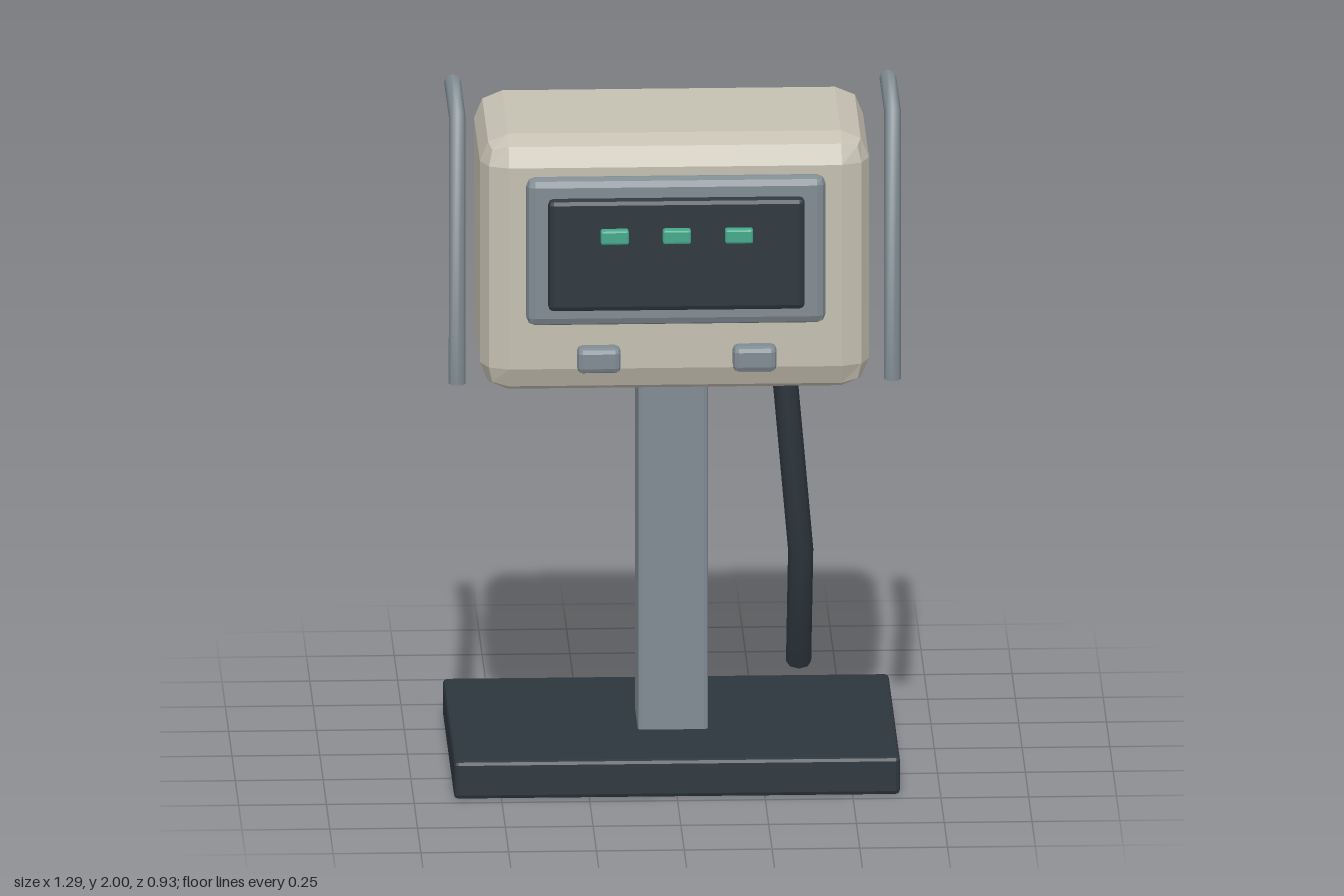
import * as THREE from 'three';
import { RoundedBoxGeometry } from 'three/addons/geometries/RoundedBoxGeometry.js';

const material = (name, color) => {
  const m = new THREE.MeshStandardMaterial({ color });
  m.name = name;
  return m;
};

// Box with two-facet bevels, given by its min and max on each axis
function bevelBox([x0, x1], [y0, y1], [z0, z1], radius) {
  const g = new RoundedBoxGeometry(x1 - x0, y1 - y0, z1 - z0, 1, radius);
  g.computeVertexNormals(); // flat facets
  g.translate((x0 + x1) / 2, (y0 + y1) / 2, (z0 + z1) / 2);
  return g;
}

// Capped bar swept along a bent line, one ring per point
function bentBar(points, radius, sides = 8) {
  const pts = points.map((p) => new THREE.Vector3(...p));
  const pos = [];
  const index = [];
  const rings = pts.map((p, i) => {
    const t = new THREE.Vector3();
    if (i > 0) t.add(p.clone().sub(pts[i - 1]).normalize());
    if (i < pts.length - 1) t.add(pts[i + 1].clone().sub(p).normalize());
    t.normalize();
    const v = new THREE.Vector3(1, 0, 0).addScaledVector(t, -t.x).normalize();
    const w = t.clone().cross(v);
    return Array.from({ length: sides }, (_, j) => {
      const a = (j / sides) * Math.PI * 2;
      return p.clone().addScaledVector(v, radius * Math.cos(a)).addScaledVector(w, radius * Math.sin(a));
    });
  });
  rings.forEach((ring) => ring.forEach((q) => pos.push(q.x, q.y, q.z)));
  for (let i = 0; i < rings.length - 1; i++) {
    for (let j = 0; j < sides; j++) {
      const k = (j + 1) % sides;
      const a = i * sides + j, b = i * sides + k;
      index.push(a, b, b + sides, a, b + sides, a + sides);
    }
  }
  // End caps with their own vertices
  for (const end of [0, rings.length - 1]) {
    const c = pos.length / 3;
    [pts[end], ...rings[end]].forEach((q) => pos.push(q.x, q.y, q.z));
    for (let j = 0; j < sides; j++) {
      const a = c + 1 + j, b = c + 1 + ((j + 1) % sides);
      if (end === 0) index.push(c, b, a);
      else index.push(c, a, b);
    }
  }
  const g = new THREE.BufferGeometry();
  g.setAttribute('position', new THREE.Float32BufferAttribute(pos, 3));
  g.setIndex(index);
  g.computeVertexNormals();
  return g;
}

export function createModel() {
  const group = new THREE.Group();
  const cream = material('cream casing', 0xc4bfb1);
  const steel = material('grey steel', 0x7f8b92);
  const dark = material('dark charcoal', 0x2d363d);
  const green = material('green light', 0x43a88a);

  const add = (name, geometry, mat) => {
    const mesh = new THREE.Mesh(geometry, mat);
    mesh.name = name;
    group.add(mesh);
  };

  // Stand
  add('base', bevelBox([-0.635, 0.635], [0, 0.112], [-0.388, 0.467], 0.012), dark);
  add('column', bevelBox([-0.1, 0.1], [0.1, 1.15], [-0.073, 0.16], 0.012), steel);

  // Casing and display
  add('casing', bevelBox([-0.554, 0.554], [1.157, 1.913], [-0.26, 0.341], 0.08), cream);
  add('bezel', bevelBox([-0.426, 0.426], [1.378, 1.815], [0.342, 0.4], 0.025), steel);
  add('screen', bevelBox([-0.365, 0.365], [1.432, 1.762], [0.395, 0.435], 0.015), dark);
  for (const x of [-0.177, 0, 0.177]) {
    add('indicatorLight', bevelBox([x - 0.04, x + 0.04], [1.638, 1.68], [0.433, 0.464], 0.006), green);
  }

  // Buttons and side rails, mirrored
  for (const s of [-1, 1]) {
    const x = s * 0.222;
    add('button', bevelBox([x - 0.062, x + 0.062], [1.256, 1.331], [0.405, 0.467], 0.016), steel);
    const r = s * 0.62;
    add('sideRail', bentBar([[r, 1.185, 0.297], [r, 1.976, 0.302], [r, 1.976, -0.052]], 0.024), steel);
  }

  // Rear cable
  add('rearCable', bentBar([[0.313, 1.28, -0.276], [0.38, 0.515, -0.276], [0.38, 0.138, -0.433]], 0.036), dark);
  return group;
}
